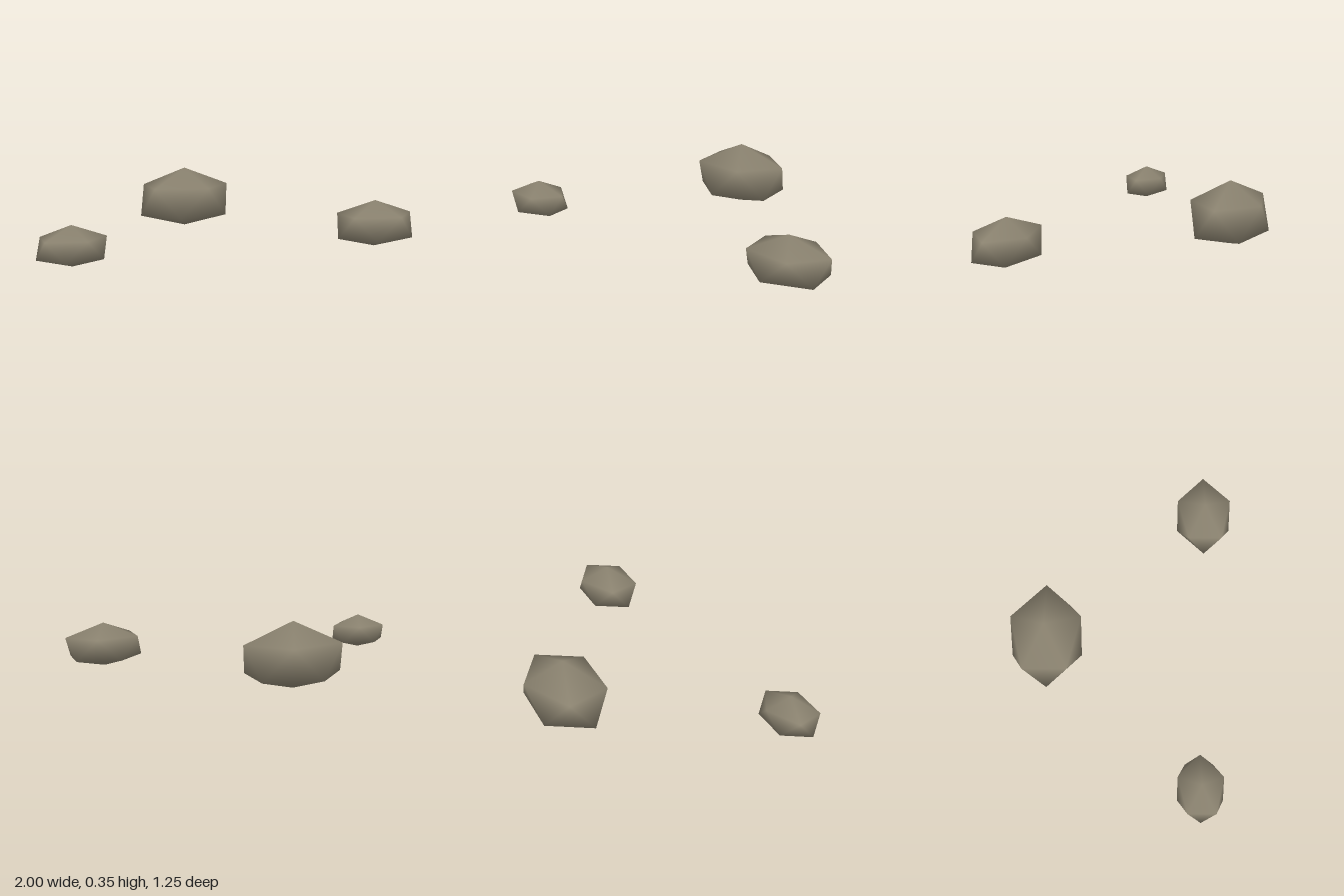
import * as THREE from 'three';

// Twelve-cornered boulder: top point, two staggered five-sided rings, bottom point
function boulderGeometry(rx, rz, lowY, highY, topY) {
  const positions = [0, topY, 0, 0, 0, 0];
  const index = [];
  for (let i = 0; i < 5; i++) {
    const upper = (i * 2 * Math.PI) / 5;
    const lower = upper + Math.PI / 5;
    positions.push(rx * Math.cos(upper), highY, rz * Math.sin(upper));
    positions.push(rx * Math.cos(lower), lowY, rz * Math.sin(lower));
    const u = 2 + i * 2, l = u + 1;
    const un = 2 + ((i + 1) % 5) * 2, ln = un + 1;
    index.push(0, un, u, u, un, l, un, ln, l, 1, l, ln);
  }
  const geometry = new THREE.BufferGeometry();
  geometry.setAttribute('position', new THREE.Float32BufferAttribute(positions, 3));
  geometry.setIndex(index);
  geometry.computeVertexNormals(); // shared corners give smooth shading
  return geometry;
}

export function createModel() {
  const group = new THREE.Group();
  group.name = 'boulders';
  const stone = new THREE.MeshStandardMaterial({ color: 0x8b8370 });
  stone.name = 'stone';

  const boulders = [
    { name: 'largeBoulder', x: 0.01, z: -0.432, size: [0.271, 0.205, 0.07, 0.241, 0.347] },
    { name: 'mediumBoulder', x: 0.784, z: 0.47, size: [0.216, 0.161, 0.05, 0.172, 0.246] },
    { name: 'smallBoulder', x: -0.828, z: 0.405, size: [0.172, 0.129, 0.042, 0.14, 0.203] },
  ];
  for (const { name, x, z, size } of boulders) {
    const mesh = new THREE.Mesh(boulderGeometry(...size), stone);
    mesh.name = name;
    mesh.position.set(x, 0, z);
    group.add(mesh);
  }
  return group;
}
